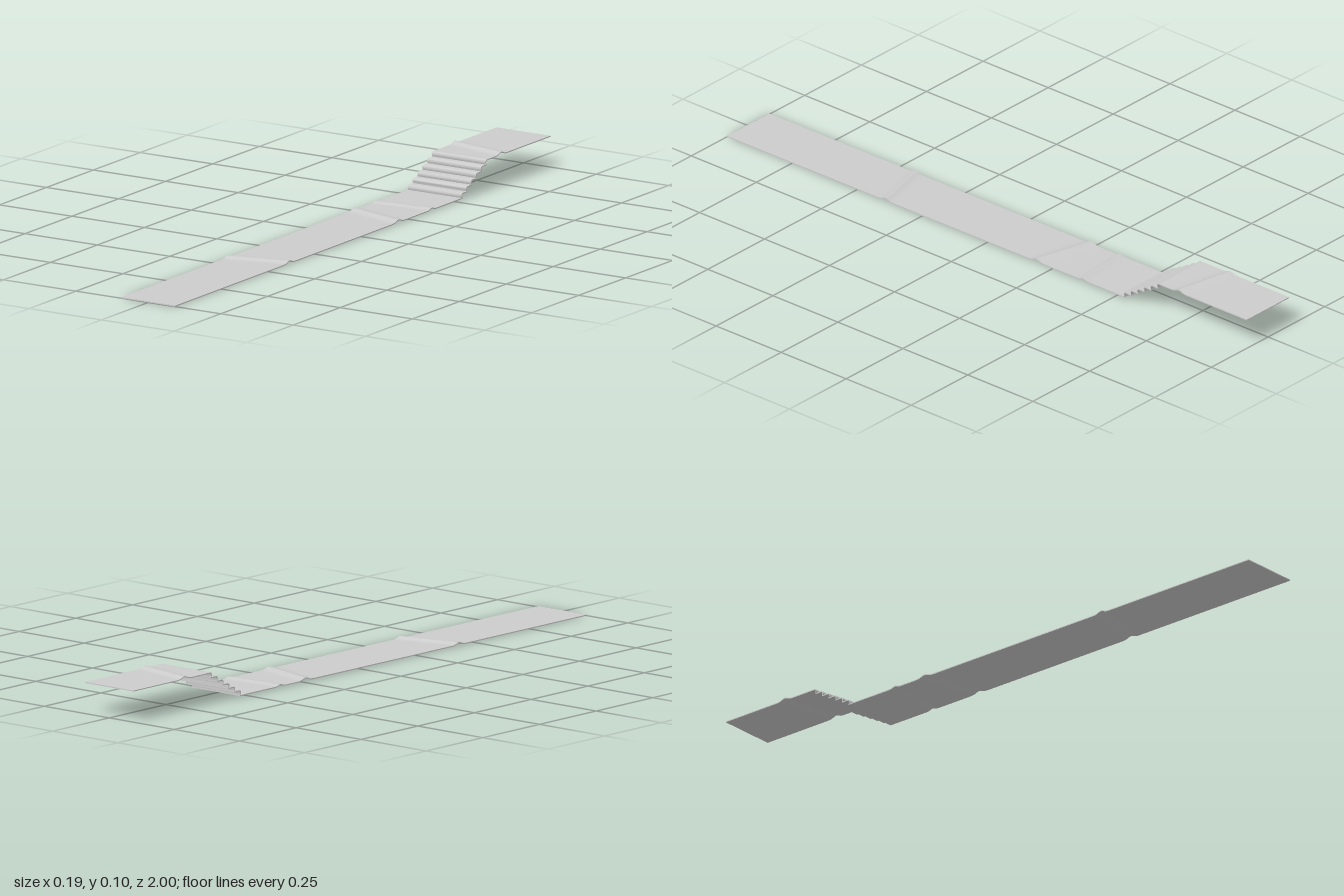
import * as THREE from 'three';
import { toCreasedNormals } from 'three/addons/utils/BufferGeometryUtils.js';

const HALF_W = 0.093, THICK = 0.003, COLS = 16;
const STEPS = 6, RISE = 0.0146, RUN = 0.0256, STAIR_Z = -0.527;
const FLOOR = 0.0045, LANDING = FLOOR + STEPS * RISE;

// Diagonal wrinkles: z on the -x edge, z on the +x edge, height, half width
const WRINKLES = [
  [0.436, 0.39, 0.007, 0.014],
  [-0.24, -0.19, 0.007, 0.016],
  [-0.352, -0.368, 0.005, 0.011],
  [-0.775, -0.738, 0.007, 0.014],
];

const wrinkleHeight = (x, z) => WRINKLES.reduce((sum, [z0, z1, h, w]) => {
  const centre = THREE.MathUtils.lerp(z0, z1, x / (2 * HALF_W) + 0.5);
  return sum + h * Math.exp(-(((z - centre) / w) ** 2));
}, 0);

// Centre line of the runner as [z, y], from the front end up the stairs to the back end
function runnerPath() {
  const path = [];
  const flat = (from, to, yFrom, yTo, n) => {
    for (let i = 0; i <= n; i++) {
      const t = i / n;
      path.push([from + (to - from) * t, yFrom + (yTo - yFrom) * t]);
    }
  };
  flat(1, STAIR_Z + 0.01, THICK / 2, FLOOR, 300);
  for (let i = 0; i < STEPS; i++) {
    const z = STAIR_Z - i * RUN, y = FLOOR + i * RISE, top = y + RISE;
    // Foot of the riser, then the rounded nosing
    path.push([z - 0.002, y], [z, top - 0.006], [z - 0.0005, top - 0.0035],
      [z - 0.002, top - 0.0012], [z - 0.005, top]);
  }
  flat(STAIR_Z - (STEPS - 1) * RUN - 0.01, -1, LANDING, LANDING, 80);
  return path;
}

function runnerGeometry() {
  const path = runnerPath(), pos = [], index = [];
  const ring = 2 * (COLS + 1), last = path.length - 1;

  // One closed cross-section per station: top across, underside back
  path.forEach(([z, y], i) => {
    const p = path[Math.max(i - 1, 0)], q = path[Math.min(i + 1, last)];
    const dz = q[0] - p[0], dy = q[1] - p[1], len = Math.hypot(dz, dy);
    const oz = (dy / len) * THICK / 2, oy = (-dz / len) * THICK / 2;
    for (let k = 0; k < ring; k++) {
      const isTop = k <= COLS, side = isTop ? 1 : -1;
      const x = HALF_W * (2 * (isTop ? k : ring - 1 - k) / COLS - 1);
      pos.push(x, y + side * oy + wrinkleHeight(x, z), z + side * oz);
    }
  });

  for (let i = 0; i < last; i++) {
    for (let k = 0; k < ring; k++) {
      const n = (k + 1) % ring;
      const a = i * ring + k, b = i * ring + n, c = b + ring, d = a + ring;
      index.push(a, b, c, a, c, d);
    }
  }
  // Thin end faces
  const back = last * ring;
  for (let j = 0; j < COLS; j++) {
    const t0 = j, t1 = j + 1, b0 = ring - 1 - j, b1 = ring - 2 - j;
    index.push(t0, b0, b1, t0, b1, t1);
    index.push(back + t0, back + b1, back + b0, back + t0, back + t1, back + b1);
  }

  const geo = new THREE.BufferGeometry();
  geo.setAttribute('position', new THREE.Float32BufferAttribute(pos, 3));
  geo.setIndex(index);
  return toCreasedNormals(geo, 0.8);
}

export function createModel() {
  const group = new THREE.Group();
  group.name = 'stairCarpet';
  const material = new THREE.MeshStandardMaterial({ color: 0xcccccc, side: THREE.DoubleSide });
  const runner = new THREE.Mesh(runnerGeometry(), material);
  runner.name = 'carpetRunner';
  group.add(runner);
  return group;
}
